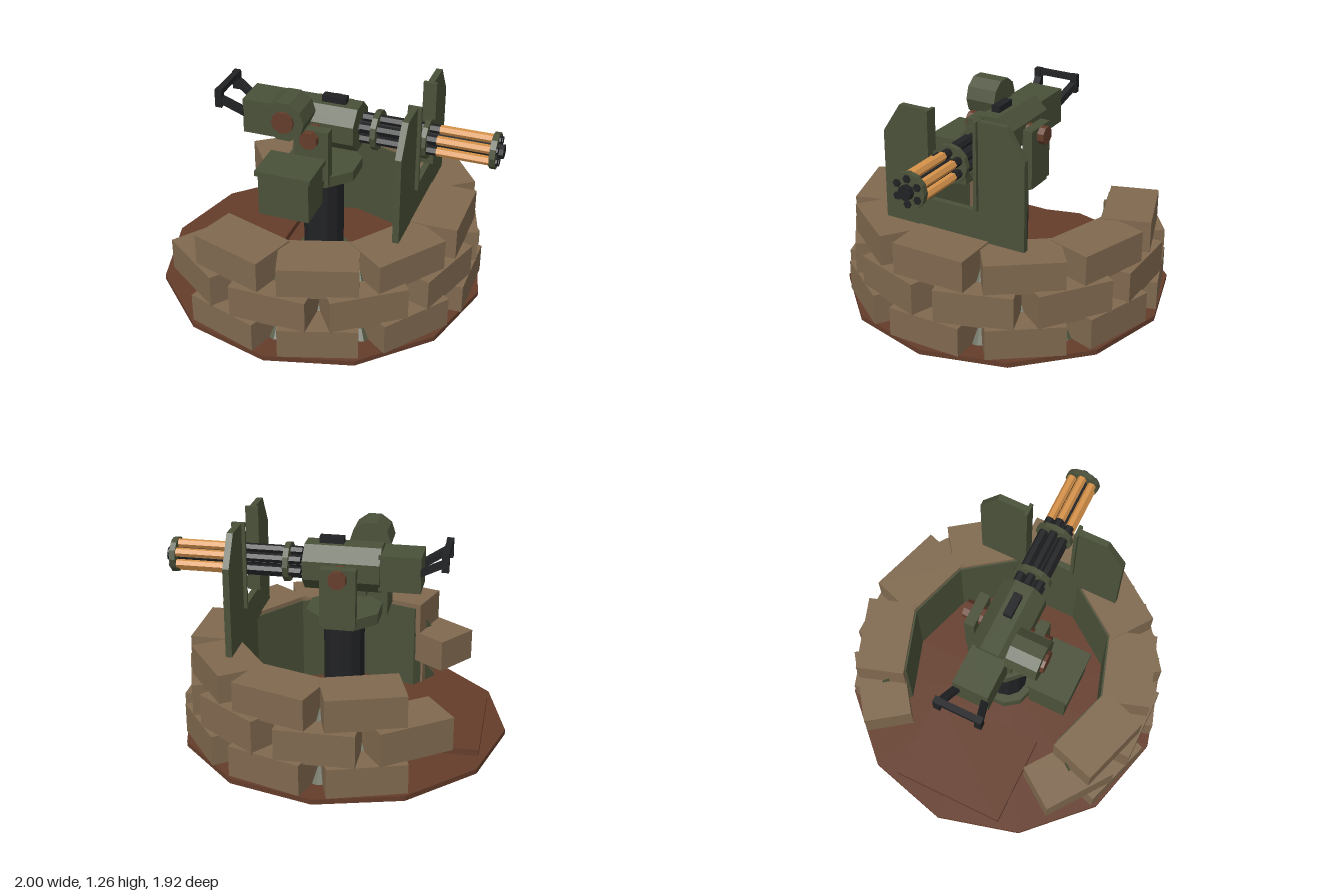
import * as THREE from 'three';

const mat = (name, color, side = THREE.FrontSide) => {
  const m = new THREE.MeshStandardMaterial({ color, side });
  m.name = name;
  return m;
};

export function createModel() {
  const sand = mat('sandstone', 0x80694f);
  const green = mat('olive green', 0x4a5139);
  const greenSheet = mat('olive green lining', 0x4a5139, THREE.DoubleSide);
  const rust = mat('rust brown', 0x653d2b);
  const black = mat('gunmetal black', 0x212224);
  const brass = mat('brass', 0xd6924a);

  const model = new THREE.Group();
  model.name = 'gunEmplacement';
  const CX = -0.04; // pivot of the emplacement
  const GY = 0.995; // height of the barrel axis
  const D = Math.PI / 180;

  // Adds a faceted mesh
  const add = (name, geo, material, x = 0, y = 0, z = 0, parent = model) => {
    const g = geo.index ? geo.toNonIndexed() : geo;
    g.computeVertexNormals();
    const m = new THREE.Mesh(g, material);
    m.name = name;
    m.position.set(x, y, z);
    parent.add(m);
    return m;
  };
  // Box given by its limits on each axis
  const box = (name, material, x0, x1, y0, y1, z0, z1, parent = model) =>
    add(name, new THREE.BoxGeometry(x1 - x0, y1 - y0, z1 - z0), material,
      (x0 + x1) / 2, (y0 + y1) / 2, (z0 + z1) / 2, parent);
  // Cylinders lying along each axis
  const cylX = (name, material, x0, x1, r, y, z, sides, turn = 0) =>
    add(name, new THREE.CylinderGeometry(r, r, x1 - x0, sides).rotateY(turn).rotateZ(-Math.PI / 2),
      material, (x0 + x1) / 2, y, z);
  const cylY = (name, material, y0, y1, r, sides, turn = 0) =>
    add(name, new THREE.CylinderGeometry(r, r, y1 - y0, sides).rotateY(turn), material, CX, (y0 + y1) / 2, 0);
  const cylZ = (name, material, z0, z1, r, x, y, sides, turn = 0) =>
    add(name, new THREE.CylinderGeometry(r, r, Math.abs(z1 - z0), sides).rotateY(turn).rotateX(Math.PI / 2),
      material, x, y, (z0 + z1) / 2);
  // Square bar between two points
  const bar = (name, material, a, b, t) => {
    const p = new THREE.Vector3(...a), q = new THREE.Vector3(...b);
    const m = add(name, new THREE.BoxGeometry(t, t, p.distanceTo(q)), material);
    m.position.copy(p).lerp(q, 0.5);
    m.lookAt(q);
    return m;
  };

  // Ground disc and entrance slab
  cylY('groundDisc', rust, 0, 0.03, 0.96, 12);
  box('entranceSlab', rust, -0.87, -0.32, 0.03, 0.07, -0.34, 0.34);

  // Three staggered courses of blocks, open at the rear
  const wall = new THREE.Group();
  wall.name = 'blockWall';
  model.add(wall);
  const rows = [
    { y0: 0.03, y1: 0.203, r: 0.915, angles: [-108, -72, -36, 0, 36, 72, 108] },
    { y0: 0.2, y1: 0.391, r: 0.895, angles: [-126, -90, -54, -18, 18, 54, 90, 126] },
    { y0: 0.388, y1: 0.568, r: 0.86, angles: [-108, -72, -36, 0, 36, 72, 108] },
  ];
  const depth = 0.28;
  rows.forEach((row, k) => row.angles.forEach((deg, i) => {
    const a = deg * D, h = row.y1 - row.y0 + ((i * 2 + k) % 3) * 0.005;
    const mid = row.r - depth / 2;
    const b = add('wallBlock', new THREE.BoxGeometry(depth, h, 0.44), sand,
      CX + Math.cos(a) * mid, row.y0 + h / 2, Math.sin(a) * mid, wall);
    b.rotation.y = -a;
  }));

  // Lining behind the blocks, stepped at each course
  const profile = [
    [0.6, 0.03], [0.81, 0.03], [0.66, 0.2], [0.78, 0.2],
    [0.64, 0.39], [0.76, 0.39], [0.64, 0.55], [0.6, 0.55], [0.6, 0.03],
  ].map(p => new THREE.Vector2(...p));
  add('wallLining', new THREE.LatheGeometry(profile, 7, -36 * D, 252 * D), greenSheet, CX);
  for (const s of [-1, 1]) {
    const cap = add('liningEnd', new THREE.ShapeGeometry(new THREE.Shape(profile)), greenSheet, CX);
    cap.rotation.y = -s * 126 * D;
  }

  // Pedestal and turntable
  cylY('pedestalFoot', green, 0.03, 0.11, 0.17, 10);
  cylY('pedestalColumn', black, 0.11, 0.68, 0.12, 12);
  cylY('turntable', green, 0.68, 0.745, 0.225, 8, Math.PI / 8);

  // Yoke arms with pivot bolts
  for (const s of [-1, 1]) {
    box('yokeArm', green, -0.14, 0.065, 0.7, 1.04, s > 0 ? 0.155 : -0.215, s > 0 ? 0.215 : -0.155);
    cylZ('pivotBolt', rust, s * 0.13, s * 0.255, 0.053, CX, 0.99, 8, Math.PI / 8);
  }

  // Ammunition box on the side
  box('ammoBox', green, -0.255, 0.04, 0.6, 0.85, 0.24, 0.46);
  box('ammoBoxLid', green, -0.27, 0.055, 0.85, 0.88, 0.23, 0.475);
  box('ammoBoxBracket', green, -0.12, 0.04, 0.7, 0.74, 0.12, 0.25);

  // Receiver, rear housing, sight and feed drum
  cylX('receiver', green, -0.26, 0.18, 0.143, GY, 0, 8, Math.PI / 8);
  box('rearHousing', green, -0.49, -0.25, 0.89, 1.1, -0.105, 0.105);
  box('topSight', black, -0.04, 0.1, 1.12, 1.165, -0.025, 0.025);
  cylZ('feedDrum', green, 0.1, 0.285, 0.12, -0.17, 1.105, 10, Math.PI / 10);
  cylZ('feedDrumCap', rust, 0.285, 0.303, 0.065, -0.17, 1.105, 10, Math.PI / 10);

  // Rear grip handle
  for (const s of [-1, 1]) {
    bar('handleStrut', black, [-0.47, 1.0, s * 0.08], [-0.625, 1.09, s * 0.122], 0.04);
    box('handlePost', black, -0.645, -0.605, 1.04, 1.15, s * 0.122 - 0.02, s * 0.122 + 0.02);
  }
  box('handleGrip', black, -0.643, -0.607, 1.115, 1.148, -0.135, 0.135);

  // Rotary barrel cluster
  cylX('barrelCore', black, 0.17, 0.94, 0.045, GY, 0, 8);
  for (let i = 0; i < 6; i++) {
    const a = (i * 60 + 30) * D;
    const y = GY + Math.sin(a) * 0.07, z = Math.cos(a) * 0.07;
    cylX('barrelRear', black, 0.2, 0.64, 0.026, y, z, 6);
    cylX('barrelFront', brass, 0.64, 0.945, 0.026, y, z, 6);
    cylX('barrelMuzzle', black, 0.94, 0.978, 0.022, y, z, 6);
  }
  cylX('rearClamp', green, 0.268, 0.3, 0.115, GY, 0, 12);
  cylX('middleClamp', green, 0.555, 0.585, 0.112, GY, 0, 12);
  cylX('muzzleClamp', green, 0.935, 0.968, 0.102, GY, 0, 12);
  cylX('muzzleHub', black, 0.96, 1.0, 0.041, GY, 0, 8);

  // Slotted gun shield
  const outline = [
    [-0.44, 0.56], [0.44, 0.56], [0.44, 1.09], [0.33, 1.26], [0.145, 1.26], [0.145, 0.745],
    [-0.145, 0.745], [-0.145, 1.26], [-0.33, 1.26], [-0.44, 1.09],
  ].map(p => new THREE.Vector2(...p));
  const plate = new THREE.ExtrudeGeometry(new THREE.Shape(outline), { depth: 0.036, bevelEnabled: false });
  add('gunShield', plate.rotateY(Math.PI / 2), green, 0.515);
  for (const s of [-1, 1])
    box('shieldSlotRib', green, 0.495, 0.572, 0.75, 1.262, s * 0.15 - 0.01, s * 0.15 + 0.01);

  return model;
}
